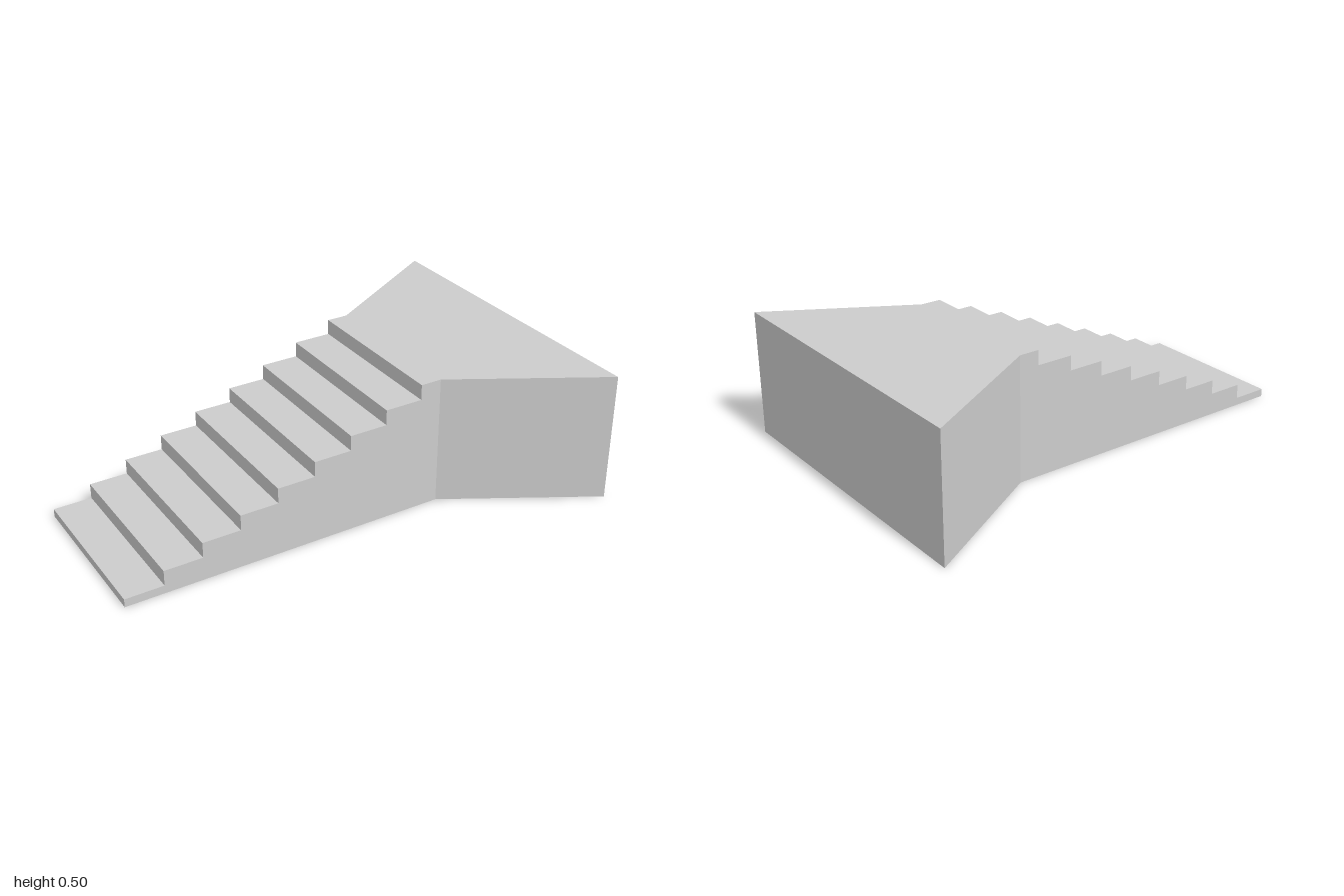
import * as THREE from 'three';

const STEPS = 8;           // treads below the landing
const RUN = 0.1439;        // tread depth
const FIRST = 0.031;       // height of the lowest tread
const HEIGHT = 0.495;      // height of the landing
const WIDTH = 0.62;        // stair width
const LENGTH = 8.56 * RUN; // flight length up to where the landing flares
const ANGLE = Math.atan2(0.0685, 0.1265);
const START = new THREE.Vector3(-1, 0, 0.285); // back corner of the lowest step

export function createModel() {
  const model = new THREE.Group();
  model.name = 'staircase';
  const concrete = new THREE.MeshStandardMaterial({ color: 0xcccccc });
  concrete.name = 'lightGrey';

  // Flight of steps: stepped side profile extruded across the stair width
  const rise = (HEIGHT - FIRST) / STEPS;
  const profile = new THREE.Shape();
  profile.moveTo(0, 0);
  profile.lineTo(LENGTH, 0);
  profile.lineTo(LENGTH, HEIGHT);
  for (let i = STEPS; i >= 0; i--) {
    profile.lineTo(i * RUN, FIRST + i * rise);
    if (i > 0) profile.lineTo(i * RUN, FIRST + (i - 1) * rise);
  }
  profile.closePath();
  const flight = new THREE.Mesh(
    new THREE.ExtrudeGeometry(profile, { depth: WIDTH, bevelEnabled: false }), concrete);
  flight.name = 'stepFlight';
  flight.position.copy(START);
  flight.rotation.y = ANGLE;
  model.add(flight);

  // Flared landing: plan outline (x, -z) extruded upwards, joined to the flight's end
  const dx = Math.cos(ANGLE), dz = Math.sin(ANGLE);
  const backX = START.x + LENGTH * dx, backZ = START.z - LENGTH * dz;
  const plan = new THREE.Shape([
    new THREE.Vector2(backX, -backZ),
    new THREE.Vector2(backX + WIDTH * dz, -(backZ + WIDTH * dx)),
    new THREE.Vector2(1, -0.257),
    new THREE.Vector2(0.405, 0.83),
  ]);
  const landing = new THREE.Mesh(
    new THREE.ExtrudeGeometry(plan, { depth: HEIGHT, bevelEnabled: false }), concrete);
  landing.name = 'landing';
  landing.rotation.x = -Math.PI / 2;
  model.add(landing);

  return model;
}
